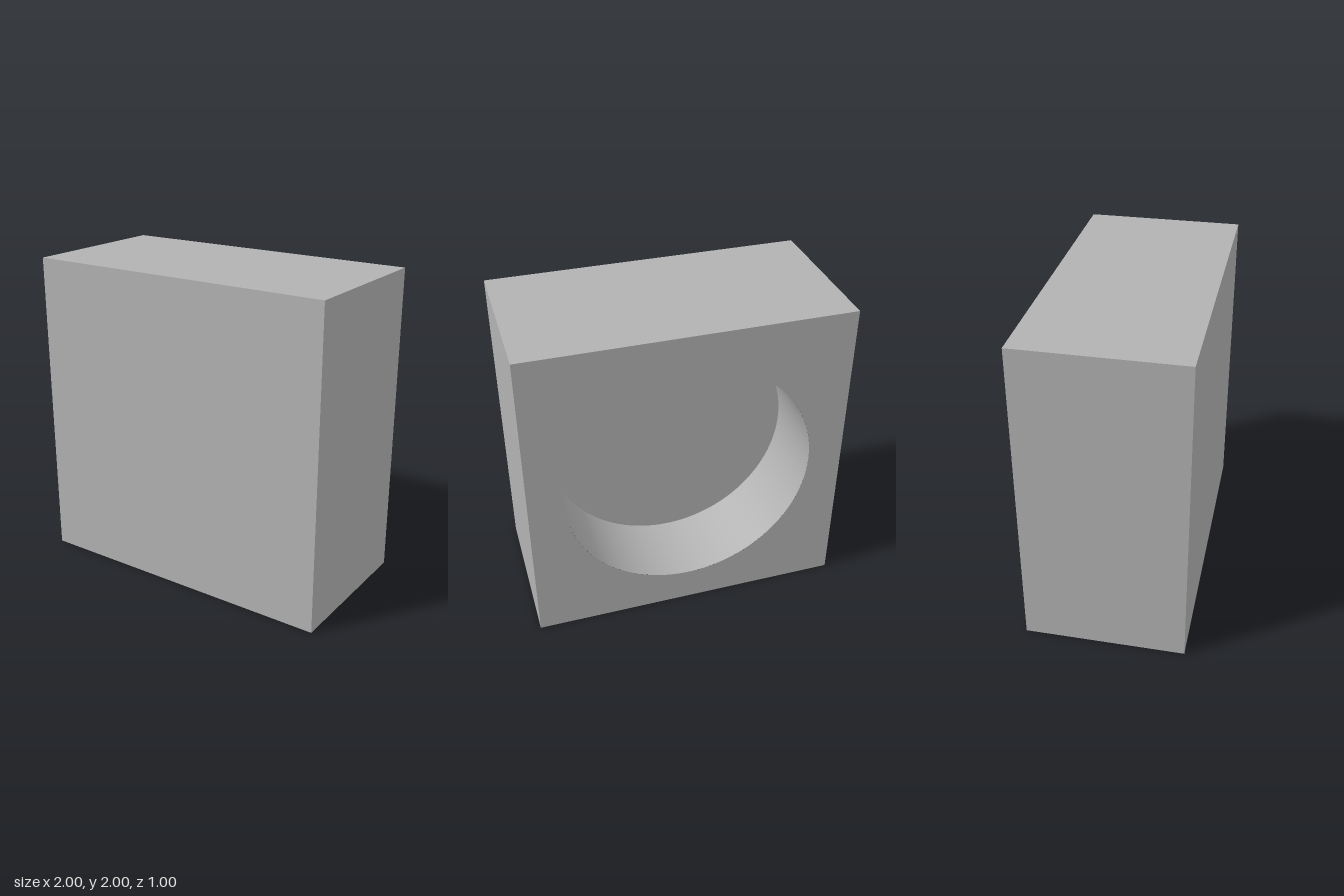
import * as THREE from 'three';

const WIDTH = 2, HEIGHT = 2, DEPTH = 1;
const RADIUS = 0.78, POCKET = 0.5, SEGMENTS = 96;

export function createModel() {
  const model = new THREE.Group();
  model.name = 'blockWithRoundPocket';
  const gray = new THREE.MeshStandardMaterial({ color: 0xb2b2b2 });
  gray.name = 'gray';

  const add = (name, geometry, z) => {
    const mesh = new THREE.Mesh(geometry, gray);
    mesh.name = name;
    mesh.position.set(0, HEIGHT / 2, z);
    model.add(mesh);
  };

  // Block body: a box without its back face (the last six indices)
  const body = new THREE.BoxGeometry(WIDTH, HEIGHT, DEPTH);
  body.setIndex(Array.from(body.index.array).slice(0, 30));
  body.clearGroups();
  add('body', body, 0);

  // Back face: a rectangle with the round opening
  const w = WIDTH / 2, h = HEIGHT / 2;
  const outline = new THREE.Shape([[-w, -h], [w, -h], [w, h], [-w, h]].map(([x, y]) => new THREE.Vector2(x, y)));
  outline.holes.push(new THREE.Path().absarc(0, 0, RADIUS, 0, Math.PI * 2, true));
  add('backFace', new THREE.ShapeGeometry(outline, SEGMENTS).rotateY(Math.PI), -DEPTH / 2);

  // Pocket wall: profile runs downward so the surface faces inward
  const profile = [new THREE.Vector2(RADIUS, POCKET), new THREE.Vector2(RADIUS, 0)];
  add('pocketWall', new THREE.LatheGeometry(profile, SEGMENTS).rotateX(Math.PI / 2), -DEPTH / 2);

  // Pocket floor
  add('pocketFloor', new THREE.CircleGeometry(RADIUS, SEGMENTS).rotateY(Math.PI), -DEPTH / 2 + POCKET);

  return model;
}
